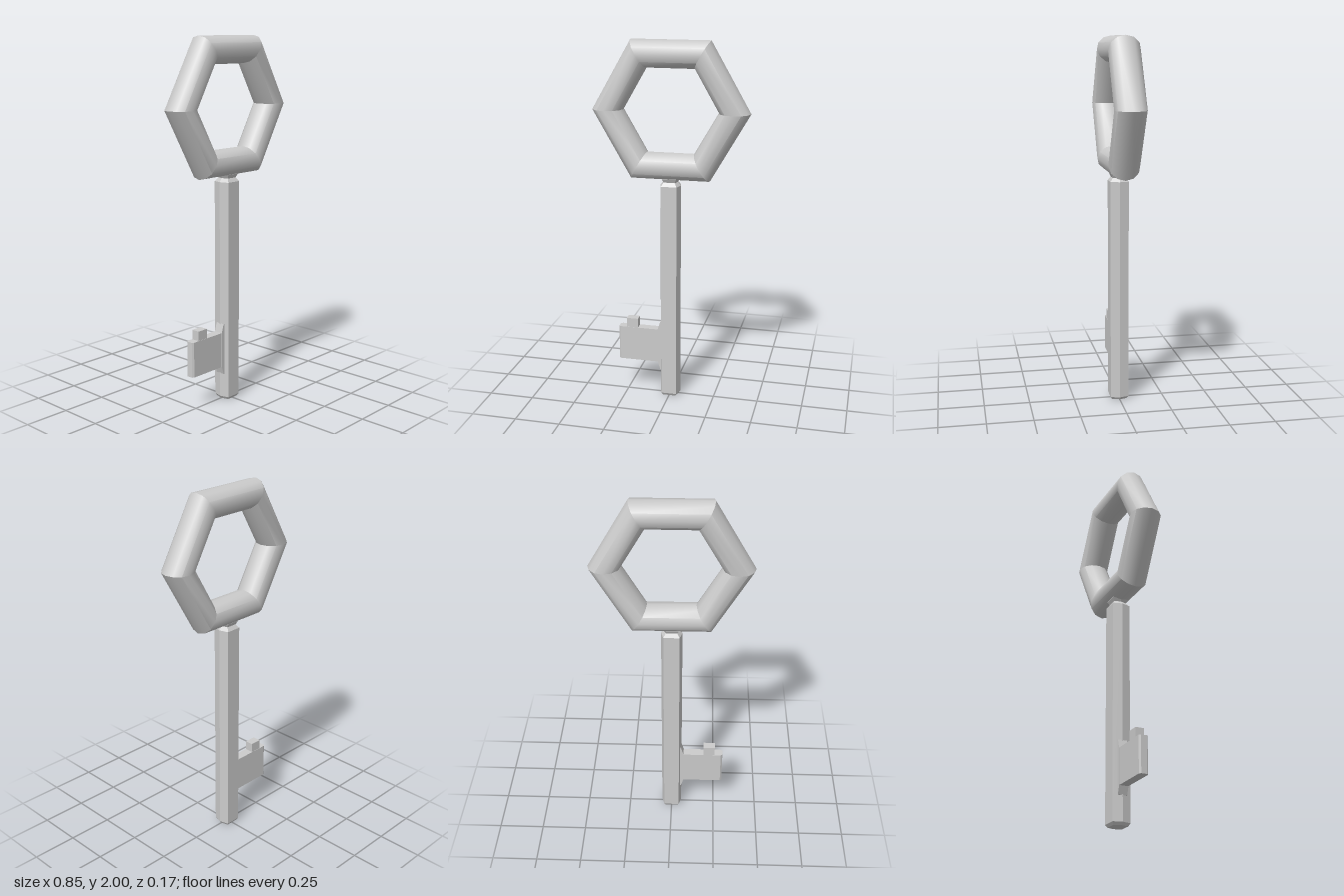
import * as THREE from 'three';
import { toCreasedNormals } from 'three/addons/utils/BufferGeometryUtils.js';

const smooth = new THREE.MeshStandardMaterial({ color: 0xcccccc });
const flat = new THREE.MeshStandardMaterial({ color: 0xcccccc, flatShading: true });

// Stacks scaled copies of an [x, z] ring at heights [y, scale], with closed ends
function loft(ring, levels) {
  const n = ring.length, pos = [], idx = [];
  for (const [y, s] of levels) for (const [x, z] of ring) pos.push(x * s, y, z * s);
  for (let l = 0; l < levels.length - 1; l++) {
    for (let i = 0; i < n; i++) {
      const a = l * n + i, b = l * n + (i + 1) % n;
      idx.push(a, b, b + n, a, b + n, a + n);
    }
  }
  const top = (levels.length - 1) * n;
  for (let i = 1; i < n - 1; i++) idx.push(top, top + i, top + i + 1, 0, i + 1, i);
  const g = new THREE.BufferGeometry();
  g.setAttribute('position', new THREE.Float32BufferAttribute(pos, 3));
  g.setIndex(idx);
  const out = g.toNonIndexed();
  out.computeVertexNormals();
  return out;
}

export function createModel() {
  const key = new THREE.Group();
  key.name = 'key';
  const add = (name, geometry, material = flat) => {
    const mesh = new THREE.Mesh(geometry, material);
    mesh.name = name;
    key.add(mesh);
    return mesh;
  };

  // Hexagonal ring handle: round tube, sharp mitred corners
  const bow = toCreasedNormals(new THREE.TorusGeometry(0.342, 0.085, 12, 6), 0.7);
  add('bow', bow, smooth).position.y = 1.63;

  // Six-sided shaft with bevelled tip and pinched neck
  const hex = [[0.057, 0], [0.043, -0.05], [-0.043, -0.05], [-0.057, 0], [-0.043, 0.05], [0.043, 0.05]];
  add('shaft', loft(hex, [[0, 0.82], [0.015, 1], [1.23, 1], [1.25, 0.7], [1.27, 0.9], [1.3, 0.9]]));

  // Bit plate with chamfered outer edge
  const plate = [[-0.03, 0.025], [-0.03, -0.025], [-0.285, -0.025], [-0.295, -0.017], [-0.295, 0.017], [-0.285, 0.025]];
  add('bit', loft(plate, [[0.195, 1], [0.392, 1]]));

  // Flared root joining the bit to the shaft
  const root = new THREE.Shape([[-0.03, 0.15], [-0.03, 0.44], [-0.055, 0.44], [-0.07, 0.39], [-0.07, 0.197], [-0.055, 0.15]]
    .map(([x, y]) => new THREE.Vector2(x, y)));
  add('bitRoot', new THREE.ExtrudeGeometry(root, { depth: 0.052, bevelEnabled: false }).translate(0, 0, -0.026));

  // Small tooth on top of the bit
  add('tooth', new THREE.BoxGeometry(0.065, 0.075, 0.046)).position.set(-0.217, 0.4075, 0);

  return key;
}
